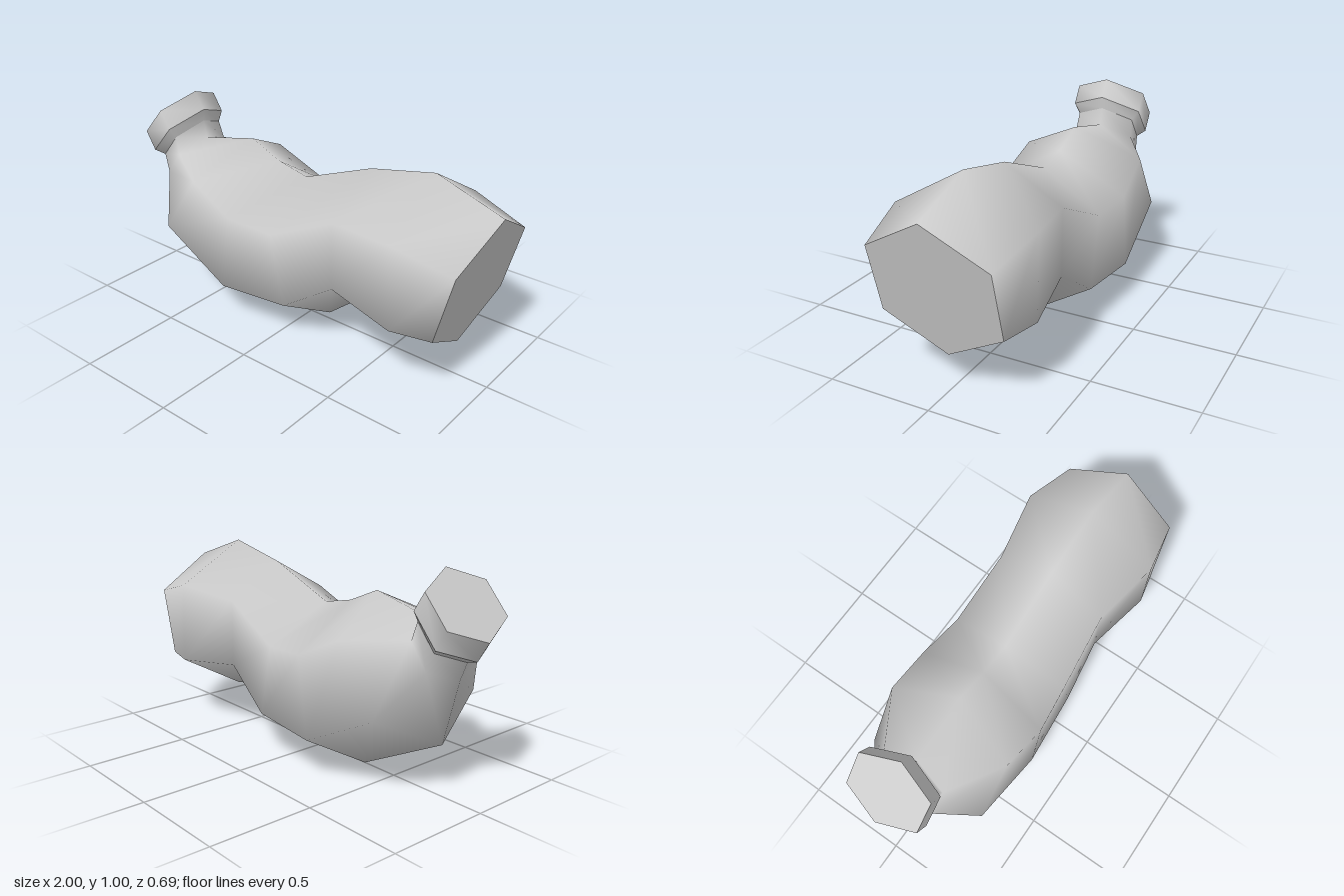
import * as THREE from 'three';

const SIDES = 6;

// Ring: [topX, topY, bottomX, bottomY, halfWidth]; half width defaults to a regular hexagon
function ringPoints([tx, ty, bx, by, hw]) {
  const half = Math.hypot(tx - bx, ty - by) / 2;
  const width = hw === undefined ? half : hw / Math.sin(Math.PI / 3);
  const cx = (tx + bx) / 2, cy = (ty + by) / 2;
  const pts = [];
  for (let k = 0; k < SIDES; k++) {
    const a = (k / SIDES) * Math.PI * 2;
    pts.push(cx + Math.cos(a) * (tx - cx), cy + Math.cos(a) * (ty - cy), Math.sin(a) * width);
  }
  return pts;
}

// Smooth skin through rings running from -x to +x
function loft(rings) {
  const index = [];
  for (let i = 0; i < rings.length - 1; i++) {
    for (let k = 0; k < SIDES; k++) {
      const a = i * SIDES + k, b = i * SIDES + (k + 1) % SIDES;
      index.push(a, b, a + SIDES, b, b + SIDES, a + SIDES);
    }
  }
  return finish(rings.flatMap(ringPoints), index);
}

// Flat hexagon closing an end
function endFace(ring, towardsPlusX) {
  const index = [];
  for (let k = 1; k < SIDES - 1; k++) {
    index.push(0, ...(towardsPlusX ? [k, k + 1] : [k + 1, k]));
  }
  return finish(ringPoints(ring), index);
}

function finish(positions, index) {
  const geo = new THREE.BufferGeometry();
  geo.setAttribute('position', new THREE.Float32BufferAttribute(positions, 3));
  geo.setIndex(index);
  geo.computeVertexNormals();
  return geo;
}

export function createModel() {
  const model = new THREE.Group();
  model.name = 'curvedTube';
  const grey = new THREE.MeshStandardMaterial({ color: 0xcccccc, side: THREE.DoubleSide });
  grey.name = 'lightGrey';

  const add = (name, geo) => {
    const mesh = new THREE.Mesh(geo, grey);
    mesh.name = name;
    model.add(mesh);
  };

  // Flange rings, outermost first
  const flangeOuter = [-0.76, 1.0, -1.0, 0.73, 0.186];
  const flangeInner = [-0.705, 0.915, -0.945, 0.64, 0.186];
  const neckTop = [-0.71, 0.855, -0.895, 0.627, 0.152];

  // Bent, bulging body from the neck to the wide end
  const wideEnd = [1.0, 0.828, 0.835, 0.175, 0.292];
  const body = [
    neckTop,
    [-0.69, 0.77, -0.86, 0.54, 0.16],
    [-0.37, 0.84, -0.78, 0.235],
    [-0.2, 0.767, -0.31, 0.0],
    [-0.03, 0.73, 0.12, 0.035],
    [0.34, 0.872, 0.345, 0.222],
    [0.67, 0.94, 0.7, 0.146],
    wideEnd,
  ];
  add('body', loft(body));
  add('wideEndFace', endFace(wideEnd, true));

  // Hexagonal flange on the neck
  add('flangeFace', endFace(flangeOuter, false));
  add('flangeRim', loft([flangeOuter, flangeInner]));
  add('flangeUnderside', loft([flangeInner, neckTop]));

  return model;
}
